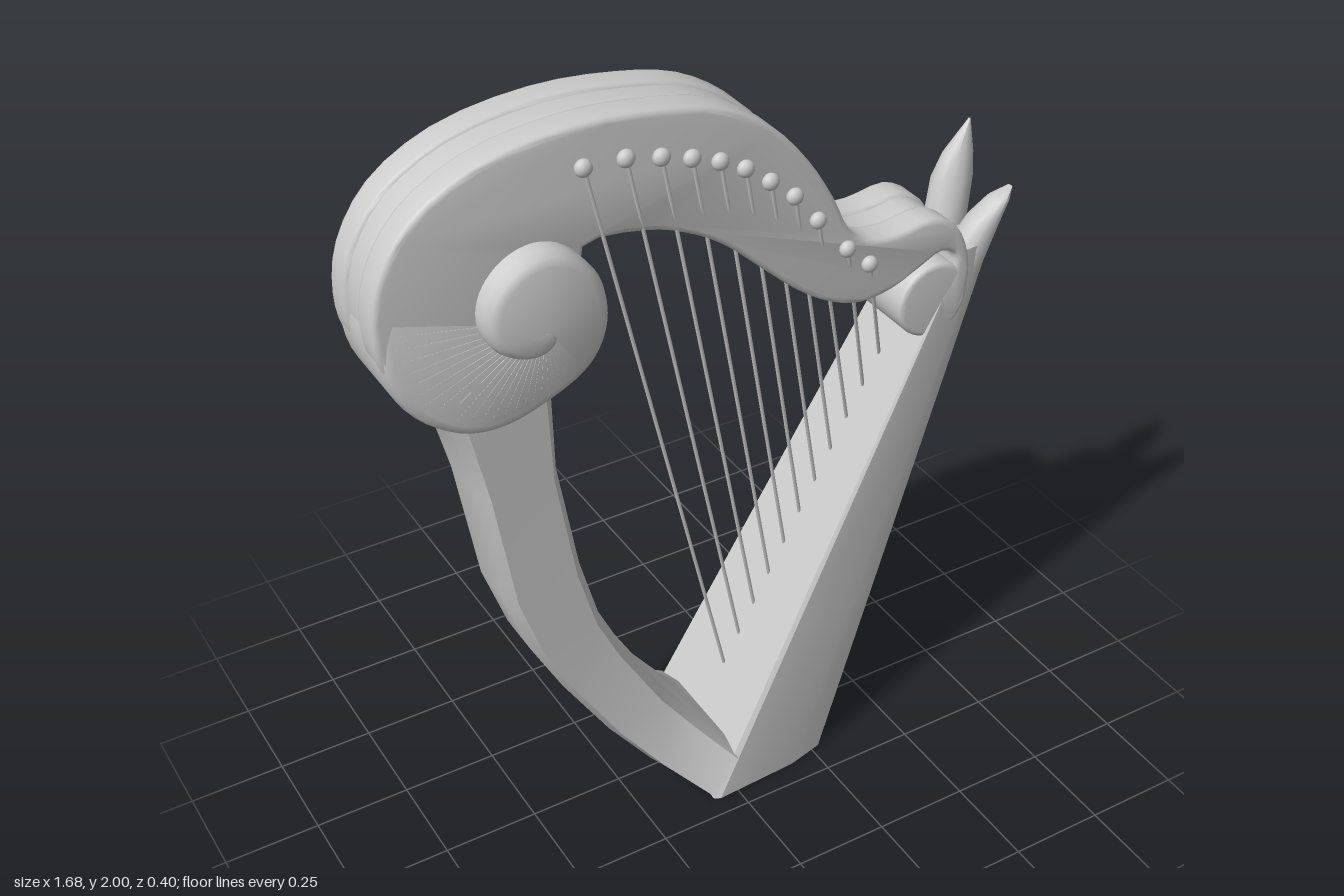
import * as THREE from 'three';
import { toCreasedNormals } from 'three/addons/utils/BufferGeometryUtils.js';

const V = (x, y, z) => new THREE.Vector3(x, y, z);

// Skin over a list of point rings; closed rings are capped at both ends.
function loft(rings, closed = true, crease = 0.6) {
  const n = rings[0].length, pos = [], idx = [];
  rings.forEach(r => r.forEach(p => pos.push(p.x, p.y, p.z)));
  for (let i = 0; i < rings.length - 1; i++) {
    for (let j = 0; j < (closed ? n : n - 1); j++) {
      const k = (j + 1) % n, a = i * n, b = a + n;
      idx.push(a + j, a + k, b + k, a + j, b + k, b + j);
    }
  }
  if (closed) {
    [0, rings.length - 1].forEach((i, top) => {
      const c = rings[i].reduce((s, p) => s.add(p), V(0, 0, 0)).divideScalar(n);
      const ci = pos.length / 3;
      pos.push(c.x, c.y, c.z);
      for (let j = 0; j < n; j++) {
        const a = i * n + j, b = i * n + (j + 1) % n;
        idx.push(ci, top ? a : b, top ? b : a);
      }
    });
  }
  const g = new THREE.BufferGeometry();
  g.setAttribute('position', new THREE.Float32BufferAttribute(pos, 3));
  g.setIndex(idx);
  return toCreasedNormals(g, crease);
}

// Rounded slab of a flat shape between two depths.
function slab(shape, z0, z1, bevel, inset = 0) {
  const g = new THREE.ExtrudeGeometry(shape, {
    depth: z1 - z0 - 2 * bevel, bevelEnabled: true, bevelThickness: bevel, bevelSize: bevel,
    bevelOffset: -bevel - inset, bevelSegments: 3, curveSegments: 24,
  });
  g.translate(0, 0, z0 + bevel);
  return toCreasedNormals(g, 0.7);
}

export function createModel() {
  const harp = new THREE.Group();
  const mat = new THREE.MeshStandardMaterial({ color: 0xcccccc });
  const add = (name, geo, parent = harp) => {
    const m = new THREE.Mesh(geo, mat);
    m.name = name;
    parent.add(m);
    return m;
  };

  // Neck: S-shaped outline, two rounded side plates over a slightly lower core
  const outline = [
    [-0.84, 1.64], [-0.82, 1.76], [-0.74, 1.88], [-0.59, 1.965], [-0.36, 2.0], [-0.15, 1.983],
    [0, 1.945], [0.12, 1.87], [0.22, 1.76], [0.29, 1.65], [0.34, 1.55], [0.39, 1.51], [0.47, 1.498],
    [0.58, 1.51], [0.65, 1.47], [0.693, 1.38], [0.695, 1.28], [0.66, 1.21], [0.6, 1.26],
    [0.645, 1.34], [0.65, 1.39], [0.61, 1.41], [0.55, 1.385], [0.47, 1.35], [0.38, 1.34],
    [0.29, 1.37], [0.2, 1.43], [0.1, 1.52], [0, 1.61], [-0.1, 1.67], [-0.2, 1.705], [-0.35, 1.71],
    [-0.34, 1.6], [-0.37, 1.47], [-0.45, 1.39], [-0.56, 1.37], [-0.67, 1.405], [-0.77, 1.47], [-0.825, 1.55],
  ].map(p => new THREE.Vector2(...p));
  const curve = new THREE.CatmullRomCurve3(outline.map(p => V(p.x, p.y, 0)), true, 'centripetal');
  const neckShape = new THREE.Shape(curve.getPoints(117).slice(0, -1).map(p => new THREE.Vector2(p.x, p.y)));
  add('neckFrontPlate', slab(neckShape, 0.03, 0.112, 0.014));
  add('neckBackPlate', slab(neckShape, -0.112, -0.03, 0.014));
  add('neckCore', slab(neckShape, -0.06, 0.06, 0.005, 0.008));

  // Small round curl under the tail of the neck
  add('tailCurl', slab(new THREE.Shape().absarc(0.595, 1.28, 0.1, 0, Math.PI * 2), -0.112, 0.112, 0.012));

  // Head scroll: a spiral ramp rising out of each face, as [degrees, radius, depth]
  const spiral = new THREE.CatmullRomCurve3([
    [135, 0.37, 0.1], [180, 0.362, 0.118], [225, 0.305, 0.135], [270, 0.2, 0.15], [315, 0.165, 0.163],
    [360, 0.153, 0.17], [405, 0.165, 0.174], [450, 0.19, 0.176], [495, 0.172, 0.177], [540, 0.13, 0.178],
    [585, 0.075, 0.178], [630, 0.042, 0.178], [675, 0.02, 0.178],
  ].map(p => V(...p)));
  const ramp = spiral.getPoints(96).map(({ x: deg, y: r, z }) => {
    const a = THREE.MathUtils.degToRad(deg);
    const at = (k, d) => V(-0.47 + Math.cos(a) * k, 1.57 + Math.sin(a) * k, d);
    const e = Math.min(0.03, r * 0.3);
    return [at(0, z), at(r - e, z), at(r - e * 0.3, z - e * 0.25), at(r, z - e), at(r, 0)];
  });
  const rampGeo = loft(ramp, false, 0.9);
  add('scrollFront', rampGeo);
  add('scrollBack', rampGeo).scale.z = -1;

  // Pillar: chamfered section swept down the bow, [outer x, y, inner x, y, half depth]
  const pillarSection = [[0.1, 1], [0.88, 1], [1, 0.62], [1, -0.62], [0.88, -1], [0.1, -1], [0, -0.62], [0, 0.62]];
  const pillarRings = [
    [-0.08, 0, 0.01, 0.13, 0.2], [-0.2, 0.125, -0.06, 0.21, 0.14], [-0.31, 0.27, -0.16, 0.345, 0.115],
    [-0.43, 0.465, -0.265, 0.53, 0.1], [-0.51, 0.62, -0.325, 0.66, 0.1], [-0.57, 0.8, -0.37, 0.83, 0.1],
    [-0.622, 1.13, -0.42, 1.13, 0.104], [-0.67, 1.33, -0.425, 1.33, 0.11], [-0.77, 1.48, -0.425, 1.45, 0.111],
  ].map(([x0, y0, x1, y1, h]) => pillarSection.map(([s, w]) => V(x0 + (x1 - x0) * s, y0 + (y1 - y0) * s, w * h)));
  add('pillar', loft(pillarRings));

  // Soundbox: flat inner board, rounded back, tapering upward
  const boardX = y => -0.07 + 0.537 * y;
  const half = [[0, 0.96], [0.04, 1], [0.6, 0.94], [0.84, 0.82], [0.95, 0.55]];
  const boxSection = [...half, [1, 0], ...half.map(([u, w]) => [u, -w]).reverse()];
  const boxRings = [0, 0.46, 0.92, 1.39].map(y => {
    const x0 = boardX(y), x1 = 0.34 + 0.327 * y, h = 0.2 - 0.069 * y;
    return boxSection.map(([u, w]) => V(x0 + (x1 - x0) * u, y, w * h));
  });
  add('soundbox', loft(boxRings, true, 0.55));

  // Two pointed leaves crowning the soundbox, [y, min x, max x, centre z, half depth]
  const leaf = rows => loft(rows.map(([y, x0, x1, z, h]) => Array.from({ length: 12 }, (_, i) => {
    const a = i / 12 * Math.PI * 2;
    return V((x0 + x1) / 2 + Math.cos(a) * (x1 - x0) / 2, y, z - Math.sin(a) * h);
  })), true, 0.8);
  add('tallLeaf', leaf([[1.28, 0.645, 0.755, -0.055, 0.045], [1.4, 0.685, 0.795, -0.055, 0.052],
    [1.5, 0.7, 0.81, -0.06, 0.045], [1.56, 0.73, 0.812, -0.064, 0.03], [1.64, 0.798, 0.803, -0.066, 0.003]]));
  add('shortLeaf', leaf([[1.28, 0.645, 0.755, 0.055, 0.045], [1.38, 0.685, 0.79, 0.055, 0.05],
    [1.44, 0.725, 0.81, 0.062, 0.042], [1.485, 0.775, 0.827, 0.068, 0.03], [1.51, 0.83, 0.836, 0.07, 0.008]]));

  // Strings with tuning pins, from the neck face to the middle of the soundboard
  const pins = [[-0.35, 1.905], [-0.25, 1.9], [-0.165, 1.88], [-0.09, 1.857], [-0.02, 1.83], [0.045, 1.795],
    [0.11, 1.745], [0.175, 1.69], [0.24, 1.61], [0.325, 1.51], [0.39, 1.45]];
  const strings = new THREE.Group();
  strings.name = 'strings';
  harp.add(strings);
  pins.forEach(([x, y], i) => {
    const endY = 0.255 + i * 0.083;
    const path = new THREE.LineCurve3(V(x, y, 0.122), V(boardX(endY) + 0.01, endY, 0));
    add('string', new THREE.TubeGeometry(path, 1, 0.0045, 6), strings);
    add('pinHead', new THREE.SphereGeometry(0.021, 14, 10).scale(1, 1, 0.8).translate(x, y, 0.12), strings);
  });

  return harp;
}
